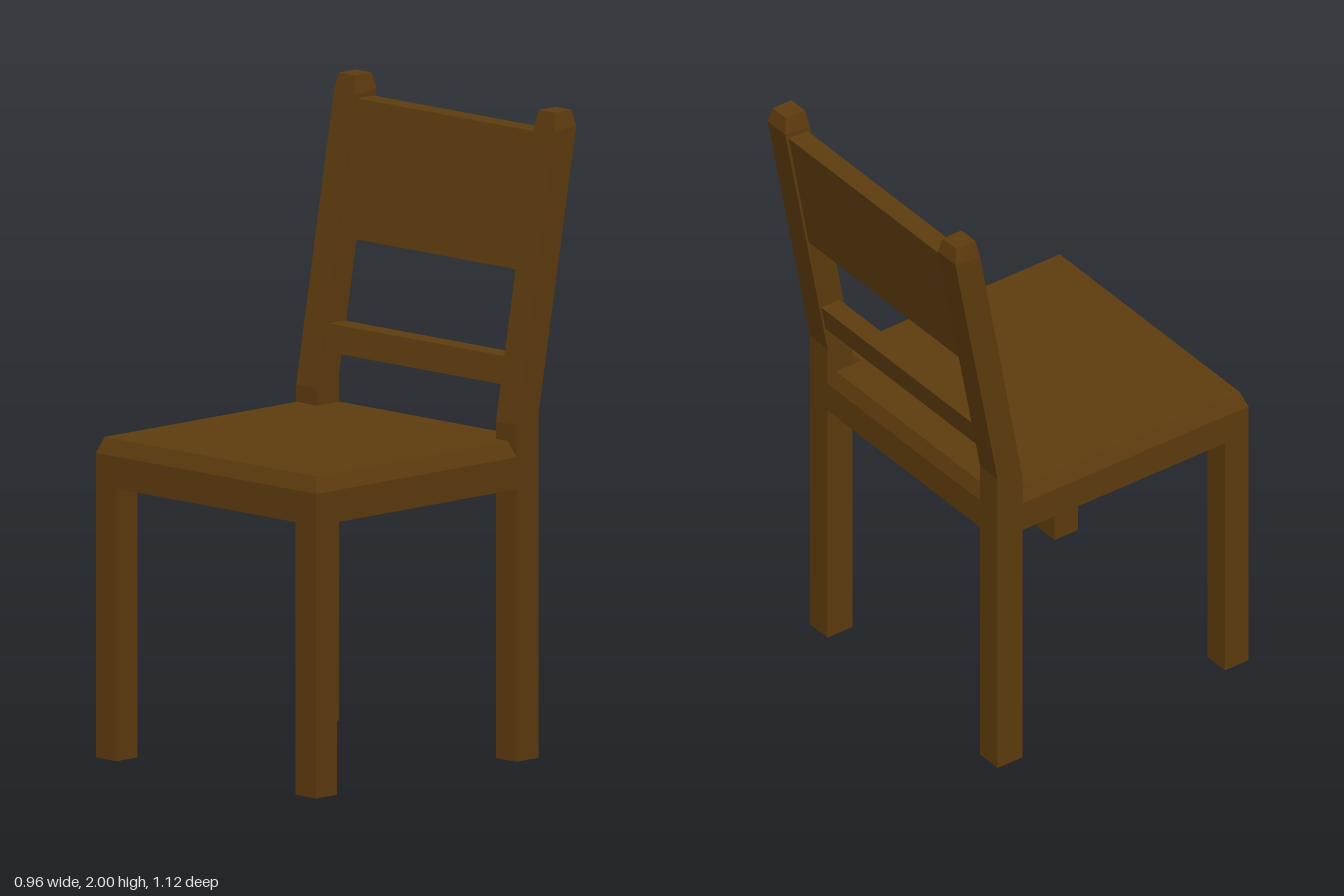
import * as THREE from 'three';

const wood = new THREE.MeshStandardMaterial({ color: 0x5f3c0e });
wood.name = 'dark wood';

// Mesh with hard-edged normals
function part(name, geometry) {
  const flat = geometry.index ? geometry.toNonIndexed() : geometry;
  flat.computeVertexNormals();
  const mesh = new THREE.Mesh(flat, wood);
  mesh.name = name;
  return mesh;
}

// Box stacked from levels: x0, x1 and [y, z] of the front and back edges
function stackedBox(levels) {
  const n = levels.length - 1;
  const geo = new THREE.BoxGeometry(1, 1, 1, 1, n, 1);
  const pos = geo.attributes.position;
  for (let i = 0; i < pos.count; i++) {
    const level = levels[Math.round((pos.getY(i) + 0.5) * n)];
    const [y, z] = pos.getZ(i) > 0 ? level.front : level.back;
    pos.setXYZ(i, pos.getX(i) < 0 ? level.x0 : level.x1, y, z);
  }
  return geo;
}

// Seat slab notched around the posts, its top edge bevelled all round
function seatGeometry() {
  const half = [[0.48, 0.56], [0.48, -0.305], [0.39, -0.305], [0.39, -0.4]];
  const outline = [...half, ...half.map(([x, z]) => [-x, z]).reverse()];
  const shape = new THREE.Shape(outline.map(([x, z]) => new THREE.Vector2(x, -z)));
  const geo = new THREE.ExtrudeGeometry(shape, { depth: 0.15, steps: 3, bevelEnabled: false });
  geo.rotateX(-Math.PI / 2);
  const pos = geo.attributes.position;
  for (let i = 0; i < pos.count; i++) {
    if (pos.getY(i) > 0.14) {
      pos.setX(i, pos.getX(i) - 0.02 * Math.sign(pos.getX(i)));
      pos.setZ(i, pos.getZ(i) - 0.018 * Math.sign(pos.getZ(i)));
    }
  }
  return geo.translate(0, 0.85, 0);
}

// Back rail following the lean of the posts
function rail(name, y0, y1) {
  const level = (y) => {
    const z = -0.402 - (y - 1.51) * 0.182;
    return { x0: -0.395, x1: 0.395, front: [y, z], back: [y, z - 0.07] };
  };
  return part(name, stackedBox([level(y0), level(y1)]));
}

export function createModel() {
  const chair = new THREE.Group();
  chair.name = 'chair';
  chair.add(part('seat', seatGeometry()));

  for (const side of [-1, 1]) {
    const label = side > 0 ? 'left' : 'right';
    const x0 = side > 0 ? 0.39 : -0.48;
    const x1 = x0 + 0.09;

    const leg = new THREE.BoxGeometry(0.09, 0.85, 0.09);
    leg.translate(side * 0.435, 0.425, 0.515);
    chair.add(part(label + 'FrontLeg', leg));

    // Back leg and leaning post in one piece, with a bevelled tip
    chair.add(part(label + 'BackPost', stackedBox([
      { x0, x1, front: [0, -0.305], back: [0, -0.4] },
      { x0, x1, front: [1.05, -0.305], back: [1.08, -0.4] },
      { x0, x1, front: [1.94, -0.467], back: [1.95, -0.562] },
      { x0: x0 + 0.01, x1: x1 - 0.01, front: [2, -0.479], back: [2, -0.551] },
    ])));
  }

  chair.add(rail('backPanel', 1.51, 1.93));
  chair.add(rail('lowerBackRail', 1.16, 1.245));
  return chair;
}
